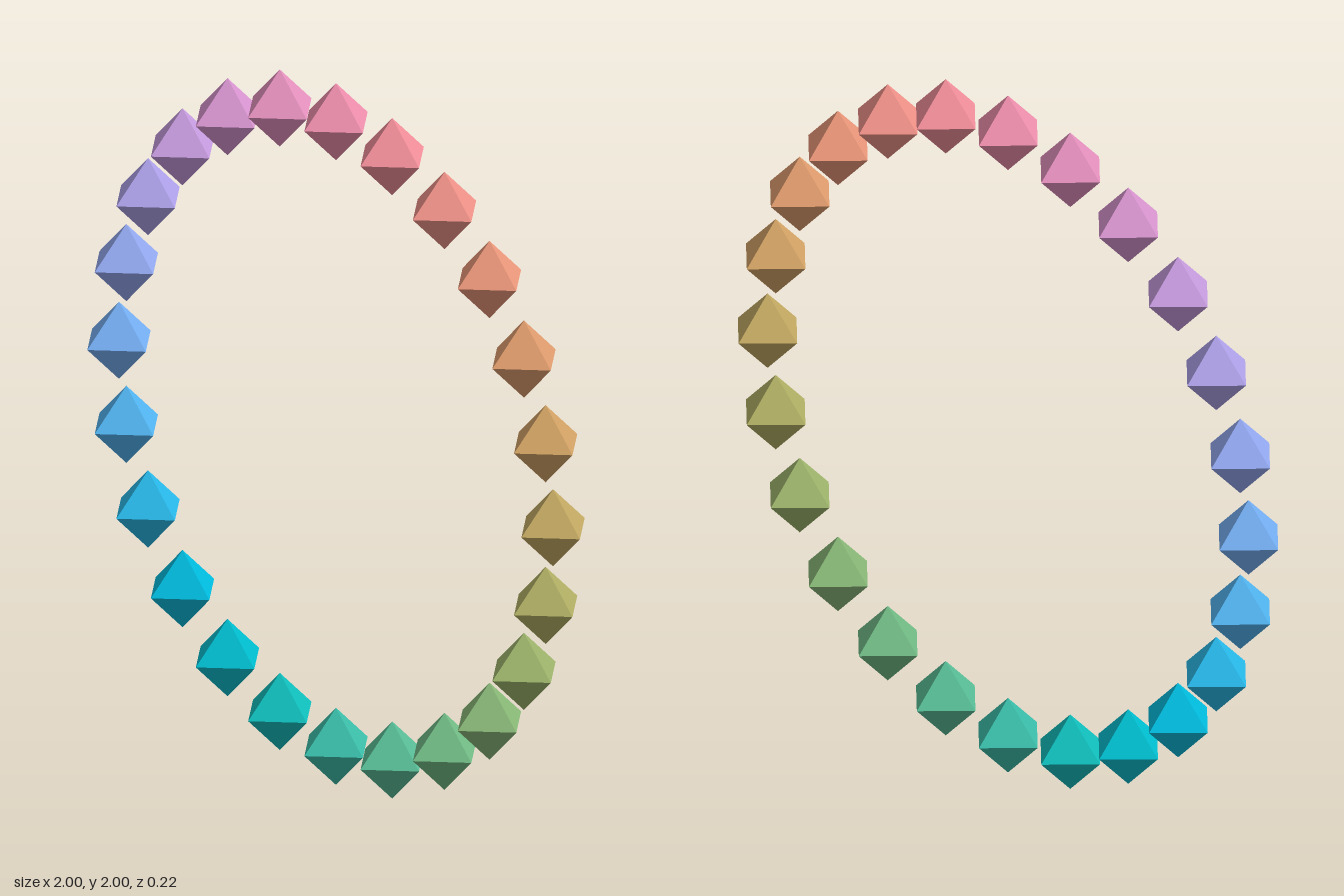
import * as THREE from 'three';

const COUNT = 24, RING = 0.89, GEM = 0.11;

// Evenly bright hue wheel: Lab lightness, chroma and hue angle to a linear colour
function hueColor(h, L = 70, C = 40) {
  const a = C * Math.cos(h), b = C * Math.sin(h);
  const f = t => (t > 6 / 29 ? t ** 3 : 3 * (6 / 29) ** 2 * (t - 4 / 29));
  const fy = (L + 16) / 116;
  const X = 0.9505 * f(fy + a / 500), Y = f(fy), Z = 1.089 * f(fy - b / 200);
  const clamp = v => Math.min(1, Math.max(0, v));
  return new THREE.Color(
    clamp(3.2406 * X - 1.5372 * Y - 0.4986 * Z),
    clamp(-0.9689 * X + 1.8758 * Y + 0.0415 * Z),
    clamp(0.0557 * X - 0.204 * Y + 1.057 * Z)
  );
}

export function createModel() {
  const ring = new THREE.Group();
  ring.name = 'gemRing';
  const geometry = new THREE.OctahedronGeometry(GEM);

  // Upright octahedra around the circle, clockwise from the top
  for (let i = 0; i < COUNT; i++) {
    const angle = (i / COUNT) * Math.PI * 2;
    const material = new THREE.MeshStandardMaterial({ flatShading: true });
    material.color.copy(hueColor(angle));
    const gem = new THREE.Mesh(geometry, material);
    gem.name = `gem${i + 1}`;
    gem.position.set(RING * Math.sin(angle), 1 + RING * Math.cos(angle), 0);
    ring.add(gem);
  }
  return ring;
}
